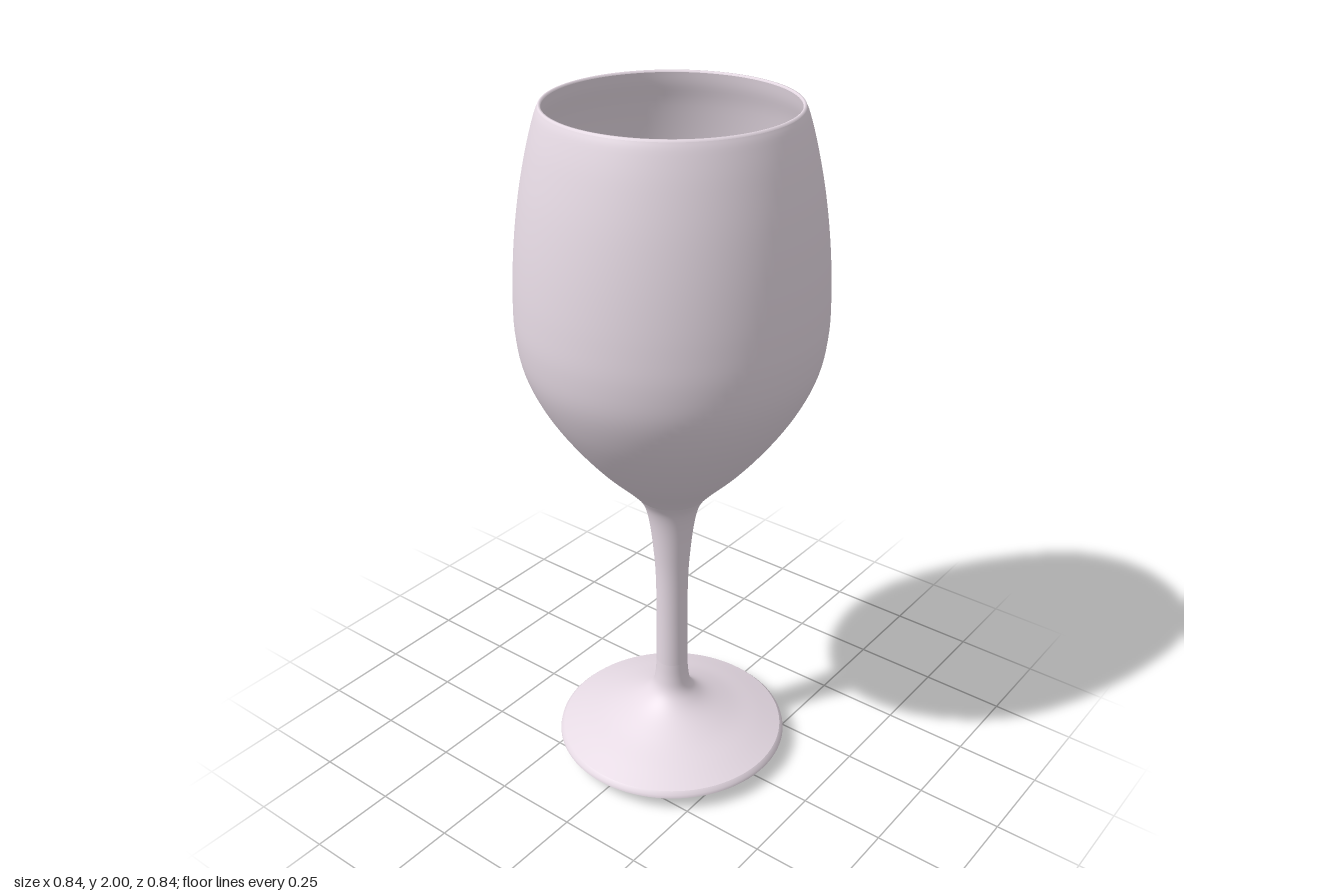
import * as THREE from 'three';

const material = new THREE.MeshStandardMaterial({ color: 0xe6dae4 });
const SEGMENTS = 96;

// Smooth curve through [radius, height] pairs
function smooth(pairs, count) {
  const curve = new THREE.SplineCurve(pairs.map(([r, y]) => new THREE.Vector2(r, y)));
  return curve.getPoints(count).map((p) => new THREE.Vector2(Math.max(p.x, 0), p.y));
}

// Straight profile through [radius, height] pairs
const straight = (pairs) => pairs.map(([r, y]) => new THREE.Vector2(r, y));

function turned(name, points) {
  const mesh = new THREE.Mesh(new THREE.LatheGeometry(points, SEGMENTS), material);
  mesh.name = name;
  return mesh;
}

export function createModel() {
  const glass = new THREE.Group();
  glass.name = 'wineGlass';

  // Foot: shallow underside, bevelled edge, narrow band and sloping top
  glass.add(turned('footUnderside', straight([[0, 0], [0.15, 0.008], [0.3, 0.022]])));
  glass.add(turned('footBevel', straight([[0.3, 0.022], [0.33, 0.034], [0.347, 0.046]])));
  glass.add(turned('footEdge', straight([[0.347, 0.046], [0.345, 0.055], [0.336, 0.064]])));
  glass.add(turned('footTop', smooth([
    [0.336, 0.064], [0.27, 0.09], [0.19, 0.12], [0.12, 0.152],
    [0.08, 0.18], [0.058, 0.21], [0.05, 0.25], [0.047, 0.3],
  ], 36)));

  // Stem flaring into the bowl
  glass.add(turned('stem', smooth([
    [0.047, 0.3], [0.046, 0.45], [0.048, 0.6], [0.055, 0.7],
    [0.066, 0.79], [0.08, 0.845], [0.1, 0.88],
  ], 30)));

  // Bowl outside, up to the inward-turned lip
  glass.add(turned('bowlOutside', smooth([
    [0.1, 0.88], [0.135, 0.918], [0.215, 1.0], [0.295, 1.1], [0.359, 1.2],
    [0.402, 1.3], [0.419, 1.4], [0.42, 1.5], [0.414, 1.6], [0.403, 1.7],
    [0.387, 1.8], [0.365, 1.9], [0.345, 1.97], [0.335, 1.995],
  ], 60)));
  glass.add(turned('rim', straight([[0.335, 1.995], [0.332, 2], [0.327, 2], [0.325, 1.995]])));

  // Bowl inside, funnelling into the hollow of the stem
  glass.add(turned('bowlInside', smooth([
    [0.325, 1.995], [0.332, 1.96], [0.35, 1.9], [0.371, 1.8], [0.387, 1.7],
    [0.398, 1.6], [0.404, 1.5], [0.403, 1.4], [0.386, 1.3], [0.344, 1.2],
    [0.281, 1.1], [0.203, 1.01], [0.124, 0.93], [0.088, 0.89],
    [0.066, 0.85], [0.051, 0.79], [0.04, 0.7], [0.033, 0.6], [0.03, 0.45],
  ], 80)));
  glass.add(turned('stemHollow', straight([[0.03, 0.45], [0.03, 0.2]])));
  glass.add(turned('hollowFloor', straight([[0.03, 0.2], [0, 0.2]])));

  return glass;
}
